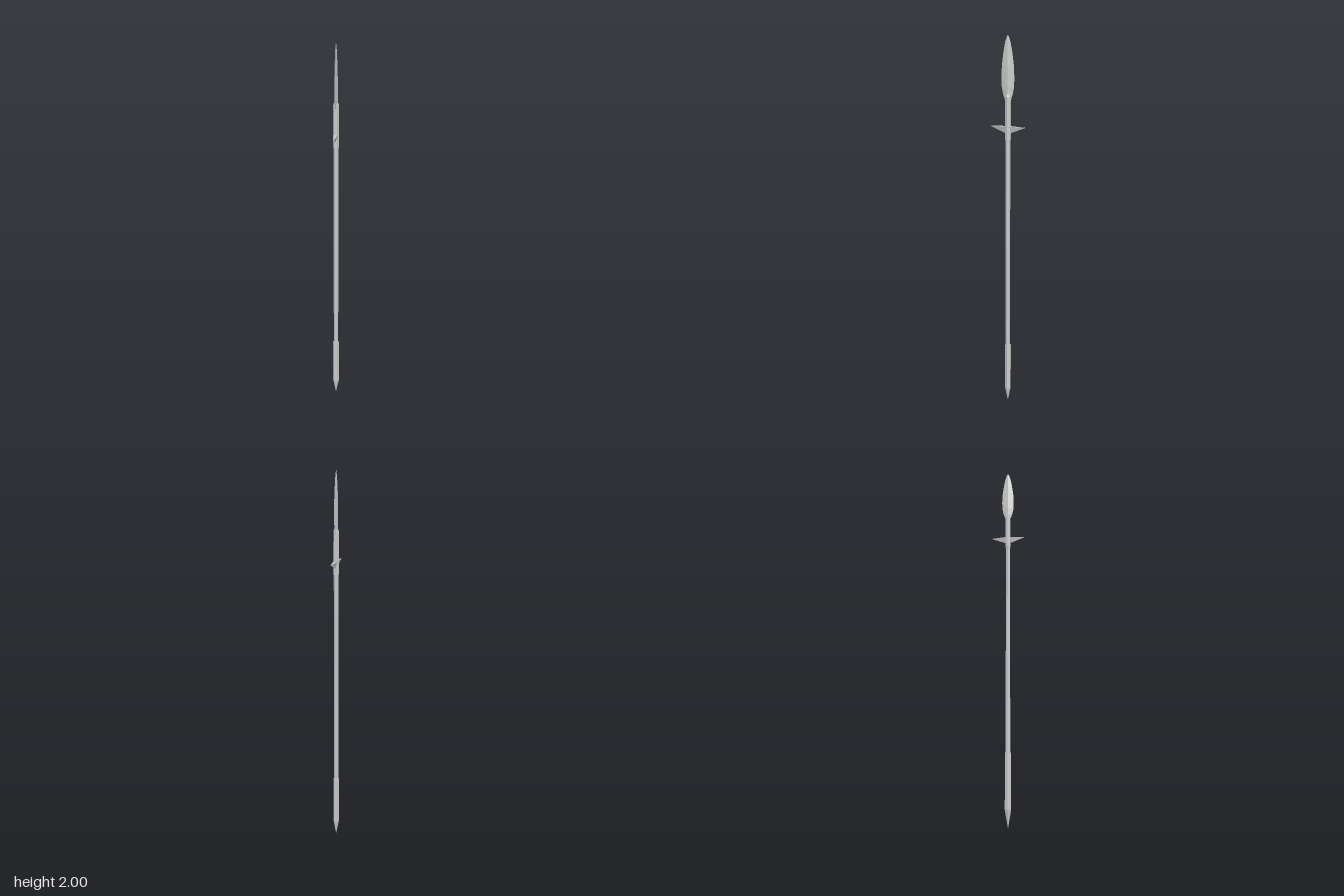
import * as THREE from 'three';

const material = new THREE.MeshStandardMaterial({ color: 0xcccccc, flatShading: true, side: THREE.DoubleSide });

function add(group, name, geometry) {
  const mesh = new THREE.Mesh(geometry, material);
  mesh.name = name;
  group.add(mesh);
  return mesh;
}

// Six-sided rod between two heights, with corners on the x axis
function hexRod(y0, y1, r0, r1) {
  const g = new THREE.CylinderGeometry(r1, r0, y1 - y0, 6, 1, false, Math.PI / 6);
  return g.translate(0, (y0 + y1) / 2, 0);
}

// Joins rings of equal point count, closing both ends with fans
function loft(rings) {
  const n = rings[0].length;
  const index = [];
  for (let i = 0; i < rings.length - 1; i++) {
    for (let j = 0; j < n; j++) {
      const a = i * n + j, b = i * n + (j + 1) % n;
      index.push(a, a + n, b, b, a + n, b + n);
    }
  }
  const last = (rings.length - 1) * n;
  for (let j = 1; j < n - 1; j++) {
    index.push(0, j, j + 1, last, last + j + 1, last + j);
  }
  const g = new THREE.BufferGeometry();
  g.setAttribute('position', new THREE.Float32BufferAttribute(rings.flat(2), 3));
  g.setIndex(index);
  g.computeVertexNormals();
  return g;
}

export function createModel() {
  const group = new THREE.Group();
  group.name = 'wingedSpear';

  // Shaft
  add(group, 'shaft', hexRod(0.3, 1.55, 0.0125, 0.0125));

  // Butt sleeve and its pointed end
  add(group, 'buttSleeve', hexRod(0.08, 0.35, 0.0165, 0.0165));
  add(group, 'buttSpike', hexRod(0, 0.08, 0.001, 0.0165));

  // Head socket, closing into the blade's ridge
  add(group, 'headSocket', hexRod(1.5, 1.71, 0.0155, 0.0145));
  add(group, 'socketNeck', hexRod(1.71, 1.74, 0.0145, 0.004));

  // Leaf blade: diamond sections of [height, half width, half thickness]
  const sections = [
    [1.695, 0.016, 0.009], [1.72, 0.024, 0.0095], [1.755, 0.031, 0.0095], [1.8, 0.033, 0.009],
    [1.86, 0.03, 0.008], [1.92, 0.0225, 0.006], [1.965, 0.014, 0.004], [1.99, 0.006, 0.002], [2, 0.0003, 0.0003],
  ];
  add(group, 'blade', loft(sections.map(([y, w, t]) => [[0, y, w], [t, y, 0], [0, y, -w], [-t, y, 0]])));

  // Pair of pointed lugs with flat tops and keeled undersides
  for (const [name, turn] of [['frontLug', 0], ['backLug', Math.PI]]) {
    const section = (z, w, yTop, yKeel) => [[w, yTop, z], [-w, yTop, z], [0, yKeel, z]];
    const lug = add(group, name, loft([
      section(0, 0.0115, 1.566, 1.526),
      section(0.09, 0.0003, 1.564, 1.563),
    ]));
    lug.rotation.y = turn;
  }

  return group;
}
